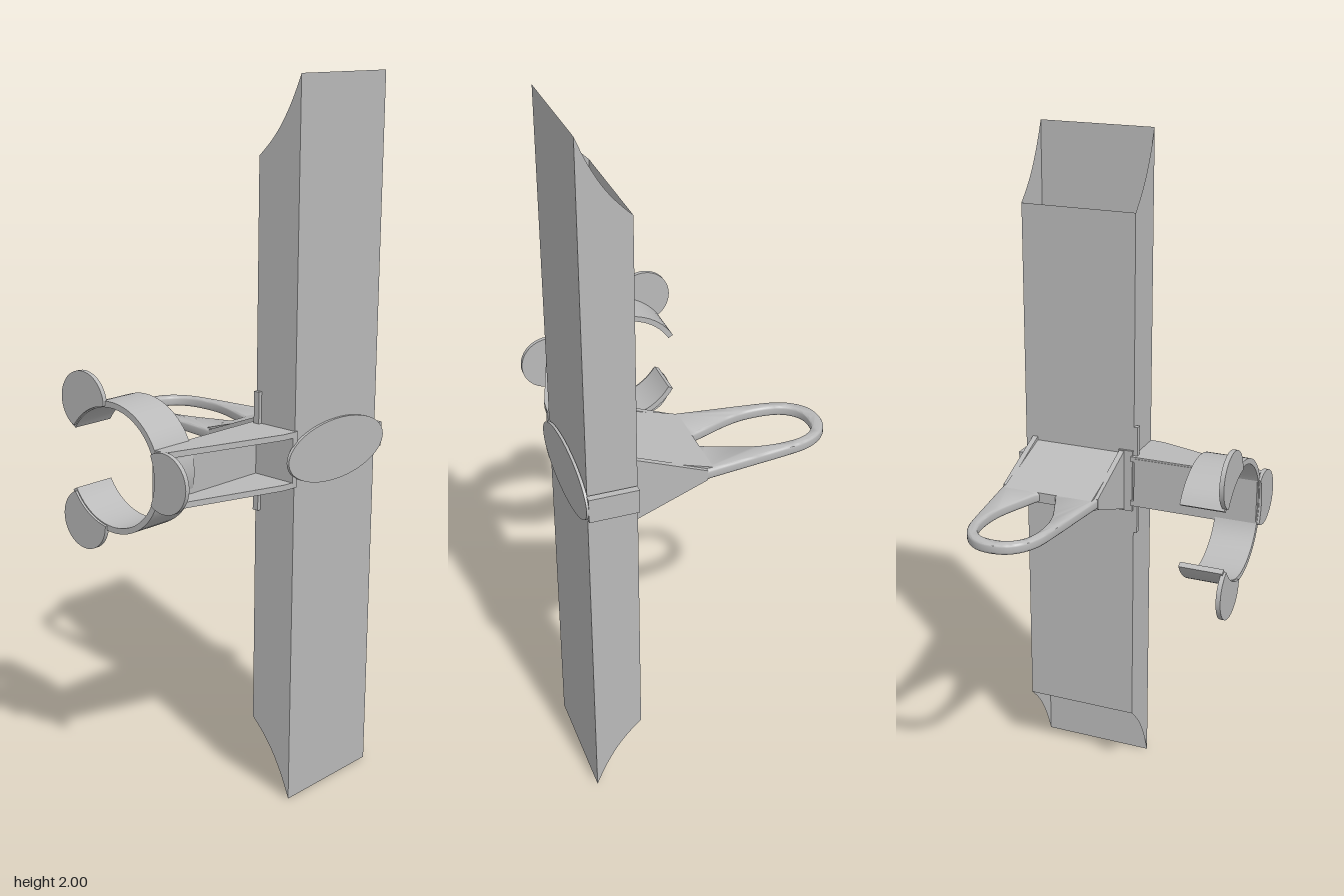
import * as THREE from 'three';
import { toCreasedNormals } from 'three/addons/utils/BufferGeometryUtils.js';

const CX = 0.1825; // middle of handle and tube

export function createModel() {
  const model = new THREE.Group();
  const grey = new THREE.MeshStandardMaterial({ color: 0xbababa, side: THREE.DoubleSide });
  grey.name = 'plain grey';

  const add = (name, geometry) => {
    const mesh = new THREE.Mesh(geometry, grey);
    mesh.name = name;
    model.add(mesh);
    return mesh;
  };
  const box = (name, x0, x1, y0, y1, z0, z1) =>
    add(name, new THREE.BoxGeometry(x1 - x0, y1 - y0, z1 - z0)
      .translate((x0 + x1) / 2, (y0 + y1) / 2, (z0 + z1) / 2));
  // Side profile of [z, y] points, extruded from x0 to x1
  const side = (name, pts, x0, x1) => {
    const shape = new THREE.Shape(pts.map(([z, y]) => new THREE.Vector2(-z, y)));
    const g = new THREE.ExtrudeGeometry(shape, { depth: x1 - x0, bevelEnabled: false });
    return add(name, toCreasedNormals(g.rotateY(Math.PI / 2).translate(x0, 0, 0), 0.6));
  };
  // Plan of [x, z] points, extruded from y0 to y1
  const plan = (name, pts, y0, y1) => {
    const shape = new THREE.Shape(pts.map(([x, z]) => new THREE.Vector2(x, z)));
    const g = new THREE.ExtrudeGeometry(shape, { depth: y1 - y0, bevelEnabled: false });
    return add(name, g.rotateX(Math.PI / 2).translate(0, y1, 0));
  };

  // Thin hollow tube with concave slanted ends
  const L = 0.006, R = 0.352, F = 0.358, B = 0.222;
  const cut = new THREE.SplineCurve([[F, 2], [0.33, 1.935], [0.295, 1.873], [0.26, 1.828], [B, 1.79]]
    .map(p => new THREE.Vector2(...p))).getPoints(12);
  const outline = [...cut, ...cut.map(p => new THREE.Vector2(p.x, 2 - p.y)).reverse()];
  for (const [name, x] of [['tubeRightWall', L], ['tubeLeftWall', R]]) {
    const shape = new THREE.Shape(outline.map(p => new THREE.Vector2(-p.x, p.y)));
    add(name, new THREE.ShapeGeometry(shape).rotateY(Math.PI / 2).translate(x, 0, 0));
  }
  add('tubeFrontWall', new THREE.PlaneGeometry(R - L, 2).translate((L + R) / 2, 1, F));
  add('tubeBackWall', new THREE.PlaneGeometry(R - L, 1.58).rotateY(Math.PI).translate((L + R) / 2, 1, B));

  // Clamp around the tube: oval face and side walls
  const oval = new THREE.Shape();
  oval.absellipse(0.176, 1, 0.204, 0.086, 0, Math.PI * 2);
  add('clampFace', toCreasedNormals(new THREE.ExtrudeGeometry(oval,
    { depth: 0.008, bevelEnabled: false, curveSegments: 32 }).translate(0, 0, 0.36), 0.6));
  box('clampLeftWall', 0.36, 0.38, 0.965, 1.035, 0.225, 0.362);
  box('clampRightWall', -0.006, 0.012, 0.925, 1.08, 0.225, 0.362);
  box('clampTab', -0.005, 0.012, 0.835, 1.168, 0.222, 0.24);
  box('clampBridge', 0.008, 0.052, 0.905, 1.095, 0.215, 0.225);

  // Handle root: wedge between two side ribs
  const wedge = (h, z0) => [[0.222, 1 + h], [z0, 1.015], [z0, 0.985], [0.222, 1 - h]];
  side('handleWedge', wedge(0.084, 0.0), 0.045, 0.32);
  side('handleRib', wedge(0.095, 0.02), 0.034, 0.05);
  side('handleRib', wedge(0.095, 0.02), 0.315, 0.331);

  // Handle loop
  const mirrored = half => [...half.map(([w, z]) => new THREE.Vector2(CX - w, z)),
    ...half.slice(0, -1).reverse().map(([w, z]) => new THREE.Vector2(CX + w, z))];
  const outer = new THREE.SplineCurve(mirrored([[0.148, 0.02], [0.133, -0.1], [0.118, -0.22],
    [0.107, -0.28], [0.085, -0.325], [0.048, -0.358], [0, -0.368]])).getPoints(48);
  const inner = new THREE.SplineCurve(mirrored([[0.006, 0.013], [0.027, -0.003], [0.042, -0.04],
    [0.074, -0.125], [0.086, -0.19], [0.083, -0.26], [0.066, -0.302], [0.036, -0.327], [0, -0.333]])).getPoints(56);
  const loop = new THREE.Shape([new THREE.Vector2(CX - 0.148, 0.05), ...outer, new THREE.Vector2(CX + 0.148, 0.05)]);
  loop.holes.push(new THREE.Path(inner));
  const loopGeo = new THREE.ExtrudeGeometry(loop, { depth: 0.014, bevelEnabled: true,
    bevelThickness: 0.008, bevelSize: 0.007, bevelOffset: -0.007, bevelSegments: 3 });
  add('handleLoop', toCreasedNormals(loopGeo.rotateX(Math.PI / 2).translate(0, 1.007, 0), 0.9));

  // Tapered side arm: two flanges and a recessed web
  const armPlan = [[-0.375, 0.21], [0.012, 0.21], [0.012, 0.225], [-0.002, 0.225], [-0.002, 0.362],
    [-0.04, 0.358], [-0.375, 0.255]];
  plan('armTopFlange', armPlan, 1.064, 1.08);
  plan('armBottomFlange', armPlan, 0.925, 0.941);
  box('armWeb', -0.375, 0.0, 0.93, 1.075, 0.208, 0.232);

  // Open spring ring, gap towards the back
  const RZ = 0.06, span = 2.6, steps = 56;
  const arc = (r, dir) => Array.from({ length: steps + 1 }, (_, i) => {
    const a = dir * (i / steps * 2 - 1) * span;
    return [RZ + r * Math.cos(a), 1 + r * Math.sin(a)];
  });
  side('clipRing', [...arc(0.178, 1), ...arc(0.162, -1)], -0.378, -0.252);

  // Round foot discs, trimmed where they meet the ring's bore
  for (const [cz, cy] of [[-0.042, 1.164], [-0.042, 0.836], [0.255, 1]]) {
    const pts = Array.from({ length: 48 }, (_, i) => {
      const a = i / 48 * Math.PI * 2;
      const dz = cz + 0.081 * Math.cos(a) - RZ, dy = cy + 0.081 * Math.sin(a) - 1;
      const k = Math.max(1, 0.165 / Math.hypot(dz, dy));
      return [RZ + dz * k, 1 + dy * k];
    });
    side('footDisc', pts, -0.385, -0.372);
  }
  return model;
}
